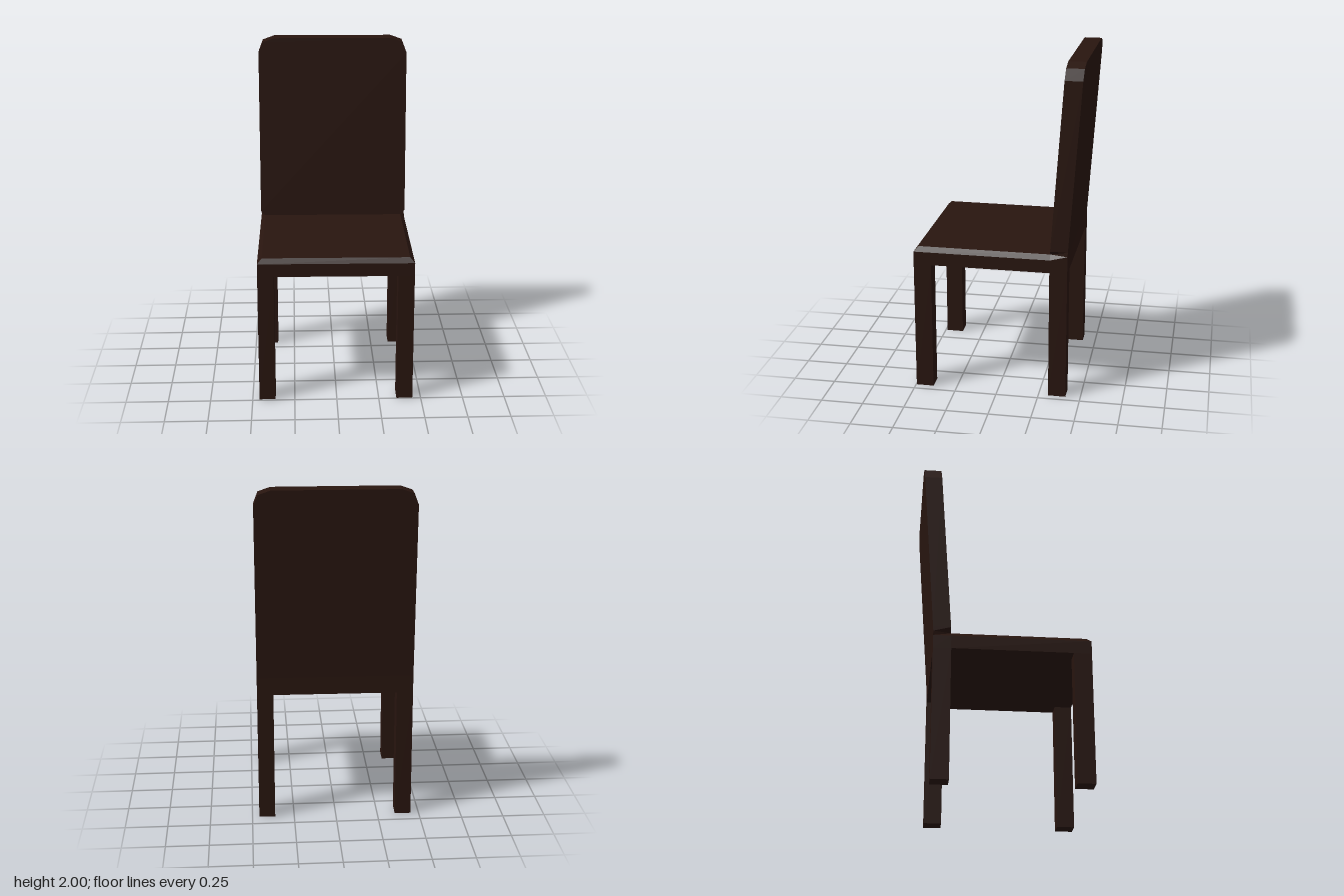
import * as THREE from 'three';

const W = 0.455;                    // half width
const FRONT = 0.492, REAR = -0.416; // seat depth limits
const BACK_FRONT = -0.313;          // front face of the backrest at the seat
const SEAT_LOW = 0.78, SEAT_TOP = 0.885, BEVEL = 0.027;

const wood = new THREE.MeshStandardMaterial({ color: 0x28150f, flatShading: true });

function reshape(geometry, rule) {
  const p = geometry.attributes.position;
  const v = new THREE.Vector3();
  for (let i = 0; i < p.count; i++) {
    rule(v.fromBufferAttribute(p, i));
    p.setXYZ(i, v.x, v.y, v.z);
  }
  geometry.computeVertexNormals();
  return geometry;
}

// Slab with its top edge bevelled at the front and sides
function seatGeometry() {
  return reshape(new THREE.BoxGeometry(2, 2, 2, 1, 2, 2), v => {
    const top = v.y > 0.5, rear = v.z < -0.5, front = v.z > 0.5;
    v.x *= top && !rear ? W - BEVEL : W;
    v.z = rear ? REAR : front ? FRONT - (top ? BEVEL : 0) : BACK_FRONT;
    v.y = top ? SEAT_TOP : v.y < -0.5 ? SEAT_LOW : SEAT_TOP - BEVEL;
  });
}

// Leaning panel with cut upper corners and a small notch at the front foot
function backrestGeometry() {
  const side = [[W - BEVEL, SEAT_TOP], [W, SEAT_TOP + BEVEL], [W, 1.91], [0.43, 1.975], [0.36, 2]];
  const outline = [...side, ...side.map(([x, y]) => [-x, y]).reverse()];
  const shape = new THREE.Shape(outline.map(([x, y]) => new THREE.Vector2(x, y)));
  const depth = BACK_FRONT - REAR;
  const geometry = new THREE.ExtrudeGeometry(shape, { depth, bevelEnabled: false });
  return reshape(geometry, v => {
    if (v.y < SEAT_TOP + 0.001 && v.z < depth / 2) v.x = Math.sign(v.x) * W;
    v.z += REAR - 0.078 * (v.y - SEAT_TOP) / (2 - SEAT_TOP);
  });
}

export function createModel() {
  const chair = new THREE.Group();
  chair.name = 'chair';
  const add = (name, geometry) => {
    const mesh = new THREE.Mesh(geometry, wood);
    mesh.name = name;
    chair.add(mesh);
    return mesh;
  };

  add('seat', seatGeometry());
  add('backrest', backrestGeometry());

  // Four square legs, flush with the seat corners
  const legW = 0.095, legD = 0.104;
  for (const sx of [-1, 1]) {
    for (const [end, z] of [['front', FRONT - legD / 2], ['back', REAR + legD / 2]]) {
      const leg = add(end + (sx > 0 ? 'LeftLeg' : 'RightLeg'), new THREE.BoxGeometry(legW, SEAT_LOW, legD));
      leg.position.set(sx * (W - legW / 2), SEAT_LOW / 2, z);
    }
  }

  // The chair stands very slightly turned
  chair.rotation.y = -0.0095;
  const model = new THREE.Group();
  model.add(chair);
  return model;
}
